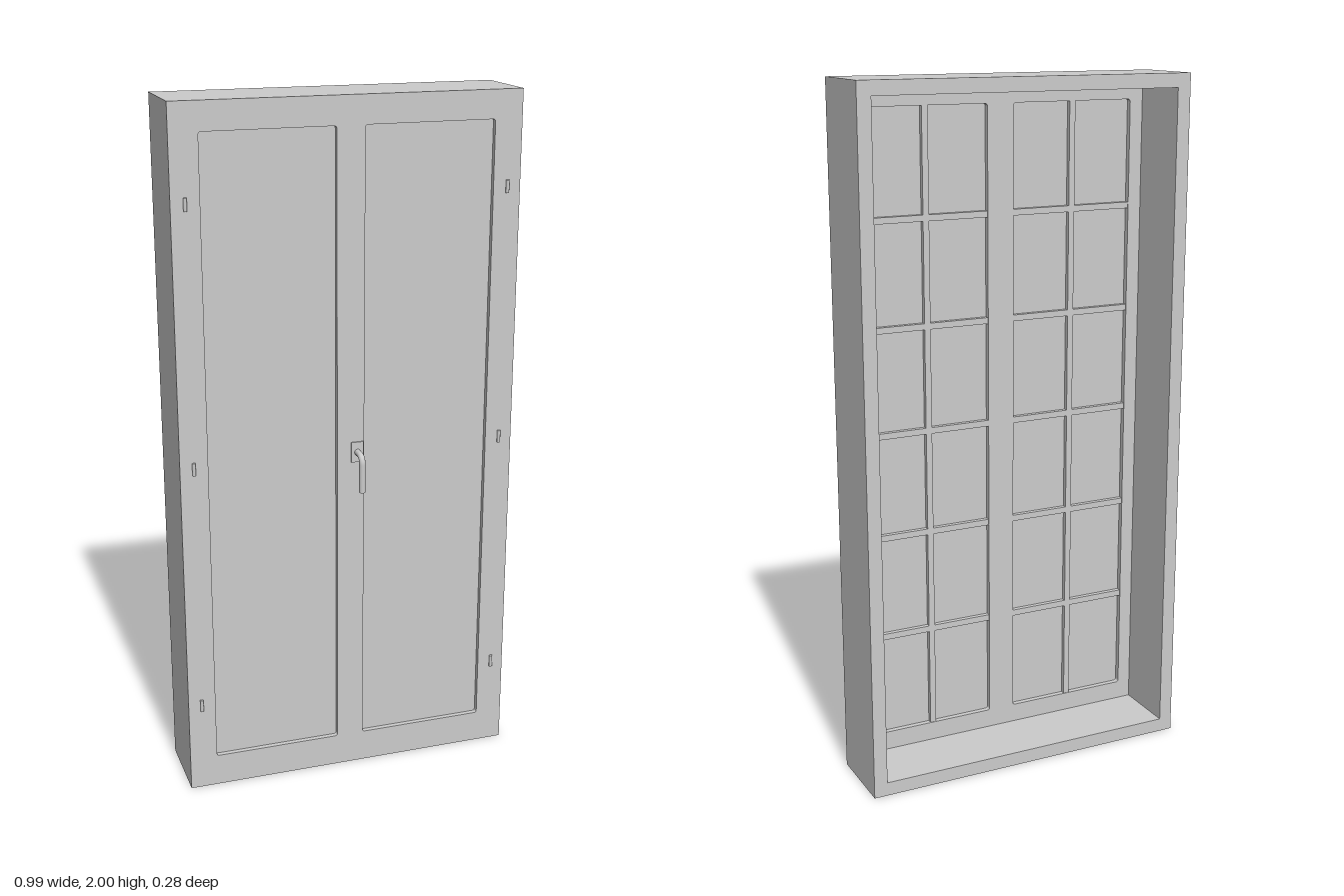
import * as THREE from 'three';

const material = new THREE.MeshStandardMaterial({ color: 0xcccccc });

function add(parent, name, geometry, x = 0, y = 0, z = 0) {
  const mesh = new THREE.Mesh(geometry, material);
  mesh.name = name;
  mesh.position.set(x, y, z);
  parent.add(mesh);
  return mesh;
}

// Rectangle outline, with optionally rounded corners
function rectPath(path, x0, y0, x1, y1, r = 0) {
  if (!r) {
    path.moveTo(x0, y0).lineTo(x1, y0).lineTo(x1, y1).lineTo(x0, y1).closePath();
    return path;
  }
  path.moveTo(x0 + r, y0);
  path.lineTo(x1 - r, y0).quadraticCurveTo(x1, y0, x1, y0 + r);
  path.lineTo(x1, y1 - r).quadraticCurveTo(x1, y1, x1 - r, y1);
  path.lineTo(x0 + r, y1).quadraticCurveTo(x0, y1, x0, y1 - r);
  path.lineTo(x0, y0 + r).quadraticCurveTo(x0, y0, x0 + r, y0);
  return path;
}

// Flat frame: outer rectangle with a hole, extruded along z
function frame(outer, inner, r, depth) {
  const shape = rectPath(new THREE.Shape(), ...outer);
  shape.holes.push(rectPath(new THREE.Path(), ...inner, r));
  return new THREE.ExtrudeGeometry(shape, { depth, bevelEnabled: false, curveSegments: 4 });
}

export function createModel() {
  const model = new THREE.Group();
  model.name = 'doubleWindow';

  // Deep outer casing, open at the back
  add(model, 'casing', frame([-0.495, 0, 0.495, 2], [-0.455, 0.04, 0.455, 1.96], 0, 0.228), 0, 0, -0.143);

  const y0 = 0.095, y1 = 1.92, rows = 6;
  for (const side of [-1, 1]) {
    const leaf = new THREE.Group();
    leaf.name = side > 0 ? 'leftLeaf' : 'rightLeaf';
    model.add(leaf);
    const cx = side * 0.2275;

    // Leaf frame and glass
    add(leaf, 'leafFrame', frame([-0.2275, 0.04, 0.2275, 1.96], [-0.1875, y0, 0.1875, y1], 0.008, 0.037), cx, 0, 0.048);
    add(leaf, 'pane', new THREE.BoxGeometry(0.38, y1 - y0 + 0.005, 0.006), cx, (y0 + y1) / 2, 0.067);

    // Glazing bars behind the glass
    add(leaf, 'verticalBar', new THREE.BoxGeometry(0.018, y1 - y0, 0.016), cx, (y0 + y1) / 2, 0.058);
    for (let i = 1; i < rows; i++) {
      const y = y0 + (y1 - y0) * i / rows;
      add(leaf, 'horizontalBar', new THREE.BoxGeometry(0.375, 0.018, 0.016), cx, y, 0.058);
    }

    // Hinge barrels
    for (const y of [0.27, 1.003, 1.735]) {
      add(leaf, 'hinge', new THREE.CylinderGeometry(0.005, 0.005, 0.036, 12), side * 0.456, y, 0.088);
    }
  }

  // Handle plate and bent lever
  const handle = new THREE.Group();
  handle.name = 'handle';
  model.add(handle);
  add(handle, 'handlePlate', new THREE.BoxGeometry(0.037, 0.06, 0.005), 0.019, 1.002, 0.0865);

  const lever = new THREE.CurvePath();
  const v = (y, z) => new THREE.Vector3(0.019, y, z);
  lever.add(new THREE.LineCurve3(v(1.002, 0.085), v(1.002, 0.108)));
  lever.add(new THREE.QuadraticBezierCurve3(v(1.002, 0.108), v(1.002, 0.132), v(0.978, 0.132)));
  lever.add(new THREE.LineCurve3(v(0.978, 0.132), v(0.895, 0.132)));
  add(handle, 'lever', new THREE.TubeGeometry(lever, 40, 0.009, 14));
  add(handle, 'leverEnd', new THREE.CircleGeometry(0.009, 14), 0.019, 0.895, 0.132).rotation.x = Math.PI / 2;

  return model;
}
